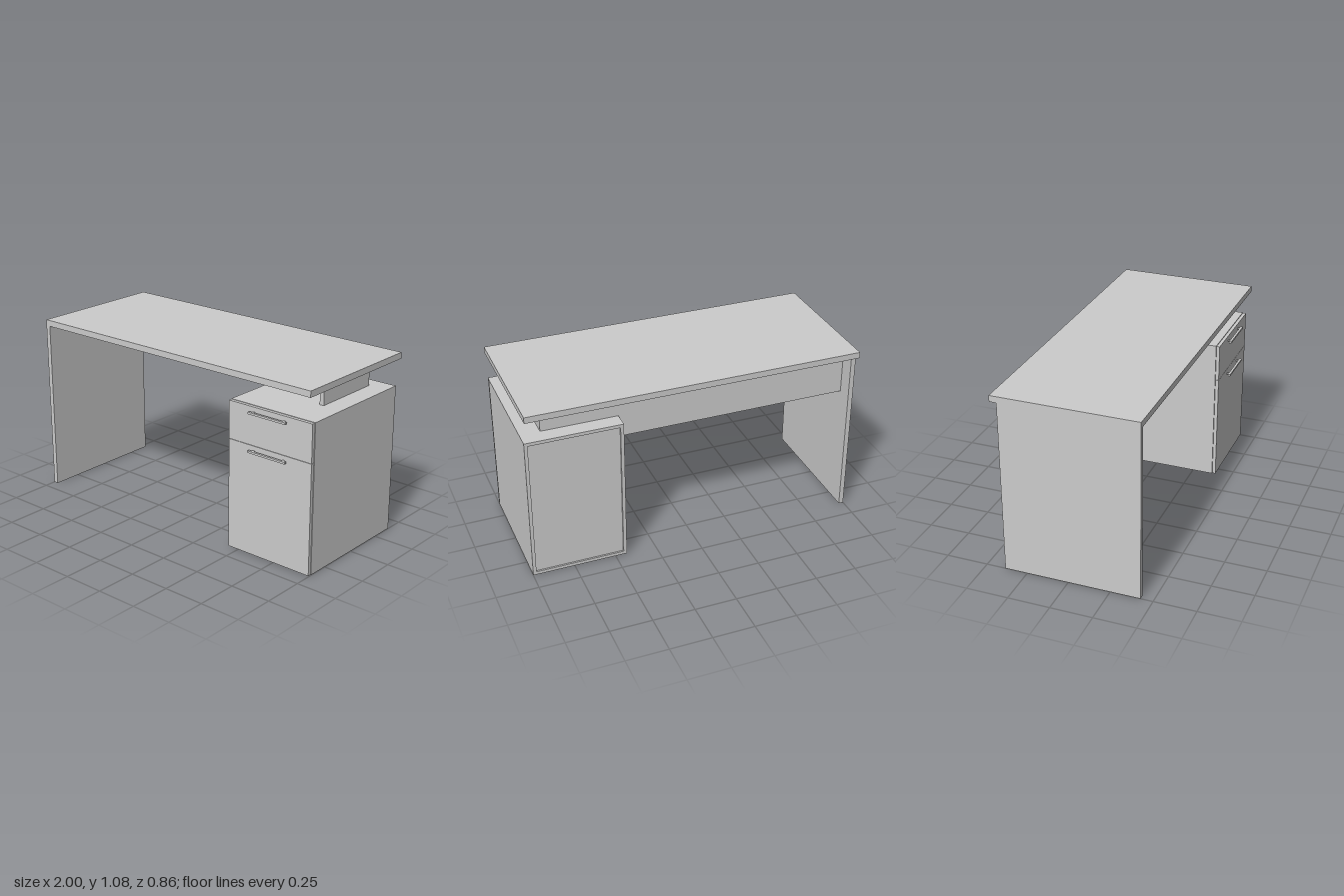
import * as THREE from 'three';

const material = new THREE.MeshStandardMaterial({ color: 0xcccccc });

// Box given by its extents along each axis
function board(parent, name, [x0, x1], [y0, y1], [z0, z1]) {
  const mesh = new THREE.Mesh(new THREE.BoxGeometry(x1 - x0, y1 - y0, z1 - z0), material);
  mesh.position.set((x0 + x1) / 2, (y0 + y1) / 2, (z0 + z1) / 2);
  mesh.name = name;
  parent.add(mesh);
  return mesh;
}

function subgroup(parent, name) {
  const g = new THREE.Group();
  g.name = name;
  parent.add(g);
  return g;
}

export function createModel() {
  const desk = new THREE.Group();
  desk.name = 'desk';

  // Top, panel leg and rear modesty panel
  board(desk, 'tabletop', [-1, 1], [1.043, 1.08], [-0.427, 0.428]);
  board(desk, 'panelLeg', [-1, -0.971], [0, 1.043], [-0.385, 0.428]);
  board(desk, 'modestyPanel', [-0.971, 0.428], [0.757, 1.043], [-0.29, -0.262]);

  // Riser holding the top above the cabinet
  const riser = subgroup(desk, 'riser');
  board(riser, 'riserBack', [0.428, 0.855], [0.892, 1.043], [-0.29, -0.262]);
  board(riser, 'riserSide', [0.855, 0.882], [0.892, 1.043], [-0.29, 0.143]);

  // Small angle brackets joining top and modesty panel
  for (const x of [-0.66, -0.235, 0.195]) {
    const bracket = subgroup(desk, 'bracket');
    board(bracket, 'bracketTopPlate', [x - 0.02, x + 0.02], [1.037, 1.043], [-0.262, -0.225]);
    board(bracket, 'bracketBackPlate', [x - 0.02, x + 0.02], [1.01, 1.043], [-0.262, -0.256]);
    const screw = new THREE.Mesh(new THREE.CylinderGeometry(0.008, 0.008, 0.006, 12), material);
    screw.name = 'bracketScrew';
    screw.rotation.x = Math.PI / 2;
    screw.position.set(x, 1.023, -0.254);
    bracket.add(screw);
  }

  // Cabinet carcass with a recessed back
  const cabinet = subgroup(desk, 'cabinet');
  const depth = [-0.385, 0.378];
  board(cabinet, 'cabinetTop', [0.43, 1], [0.872, 0.892], depth);
  board(cabinet, 'cabinetBottom', [0.43, 1], [0.002, 0.022], depth);
  board(cabinet, 'cabinetSideInner', [0.43, 0.45], [0.022, 0.872], depth);
  board(cabinet, 'cabinetSideOuter', [0.98, 1], [0.022, 0.872], depth);
  board(cabinet, 'cabinetBack', [0.45, 0.98], [0.022, 0.872], [-0.375, -0.365]);

  // Fronts, each with a bar handle on two posts
  for (const [name, y0, y1, handleY] of [['drawer', 0.666, 0.89, 0.859], ['door', 0.004, 0.664, 0.634]]) {
    const front = subgroup(cabinet, name);
    board(front, name + 'Front', [0.432, 0.998], [y0, y1], [0.38, 0.4]);
    board(front, 'handleBar', [0.585, 0.84], [handleY - 0.006, handleY + 0.006], [0.414, 0.428]);
    for (const x of [0.61, 0.815]) {
      board(front, 'handlePost', [x - 0.006, x + 0.006], [handleY - 0.004, handleY + 0.004], [0.4, 0.414]);
    }
  }

  return desk;
}
